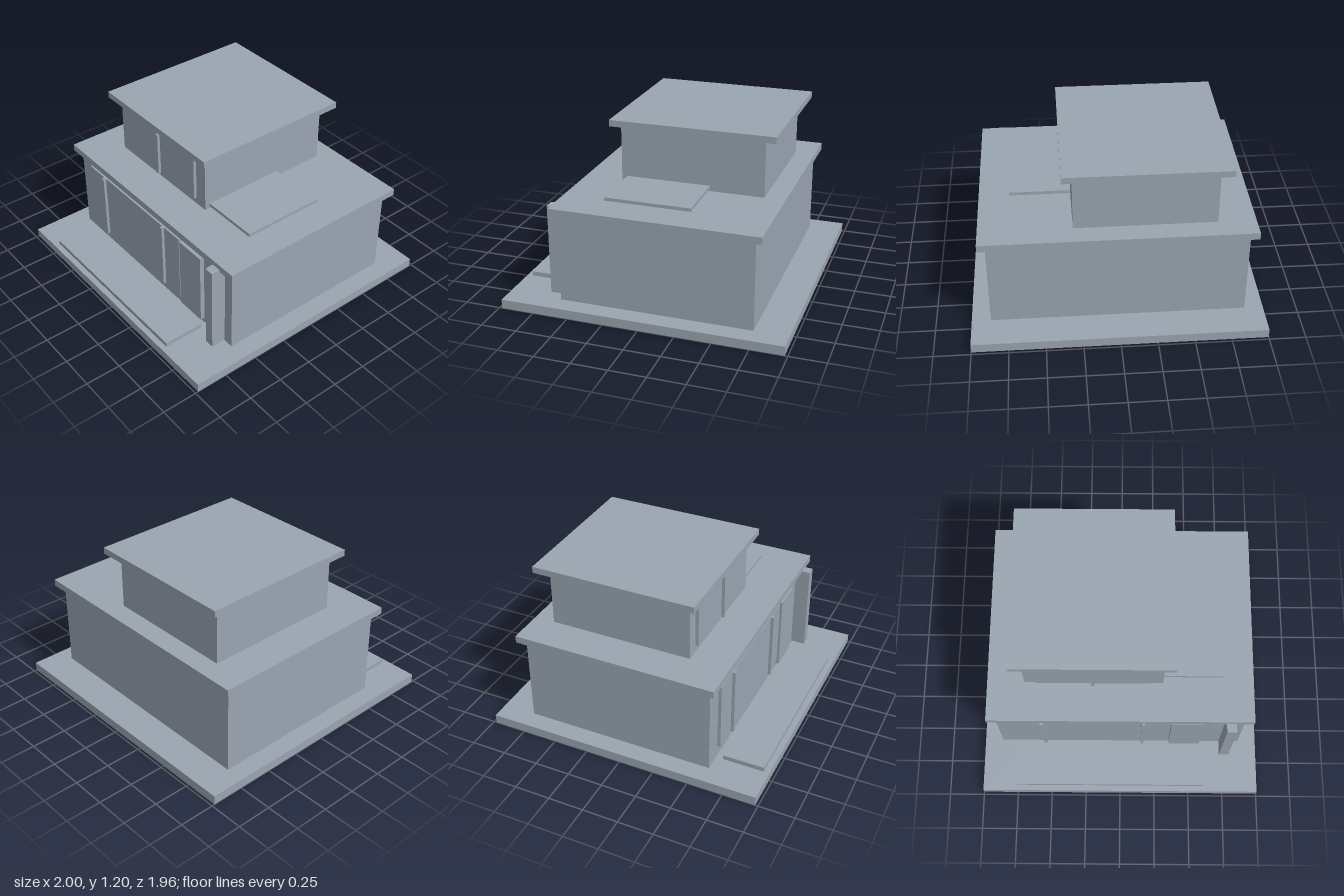
import * as THREE from 'three';

export function createModel() {
  const model = new THREE.Group();
  model.name = 'house';

  const plaster = new THREE.MeshStandardMaterial({ color: 0x9aa5b1 });
  plaster.name = 'grey plaster';

  // Box given by its extents along each axis
  function slab(name, [x0, x1], [y0, y1], [z0, z1], parent = model) {
    const mesh = new THREE.Mesh(new THREE.BoxGeometry(x1 - x0, y1 - y0, z1 - z0), plaster);
    mesh.position.set((x0 + x1) / 2, (y0 + y1) / 2, (z0 + z1) / 2);
    mesh.name = name;
    parent.add(mesh);
  }

  // Glazed panel on a front wall, with upright mullions standing proud of it
  function windowBand(name, xs, ys, wallZ, mullions) {
    const group = new THREE.Group();
    group.name = name;
    slab('glassPanel', xs, ys, [wallZ - 0.01, wallZ + 0.022], group);
    for (const x of mullions) {
      slab('mullion', [x - 0.011, x + 0.011], ys, [wallZ, wallZ + 0.043], group);
    }
    model.add(group);
  }

  // Ground and entrance terrace
  slab('basePlinth', [-1, 1], [0, 0.065], [-0.98, 0.98]);
  slab('frontTerrace', [-0.75, 0.605], [0.065, 0.097], [0.65, 0.94]);

  // Ground floor
  slab('lowerWalls', [-0.87, 0.87], [0.065, 0.695], [-0.745, 0.6]);
  slab('lowerRoof', [-0.92, 0.92], [0.695, 0.745], [-0.795, 0.643]);
  windowBand('lowerWindows', [-0.735, 0.335], [0.15, 0.645], 0.6, [-0.545, 0.16]);
  slab('frontDoor', [0.355, 0.58], [0.107, 0.645], [0.59, 0.632]);
  slab('entrancePillar', [0.73, 0.798], [0.07, 0.71], [0.595, 0.705]);

  // Upper floor
  slab('upperWalls', [-0.663, 0.295], [0.745, 1.155], [-0.65, 0.365]);
  slab('upperRoof', [-0.738, 0.365], [1.155, 1.2], [-0.735, 0.425]);
  windowBand('upperWindows', [-0.577, 0.2], [0.795, 1.115], 0.365, [-0.188]);

  // Thin deck raised just above the lower roof
  slab('roofDeck', [0.28, 0.71], [0.76, 0.783], [-0.27, 0.328]);

  return model;
}
